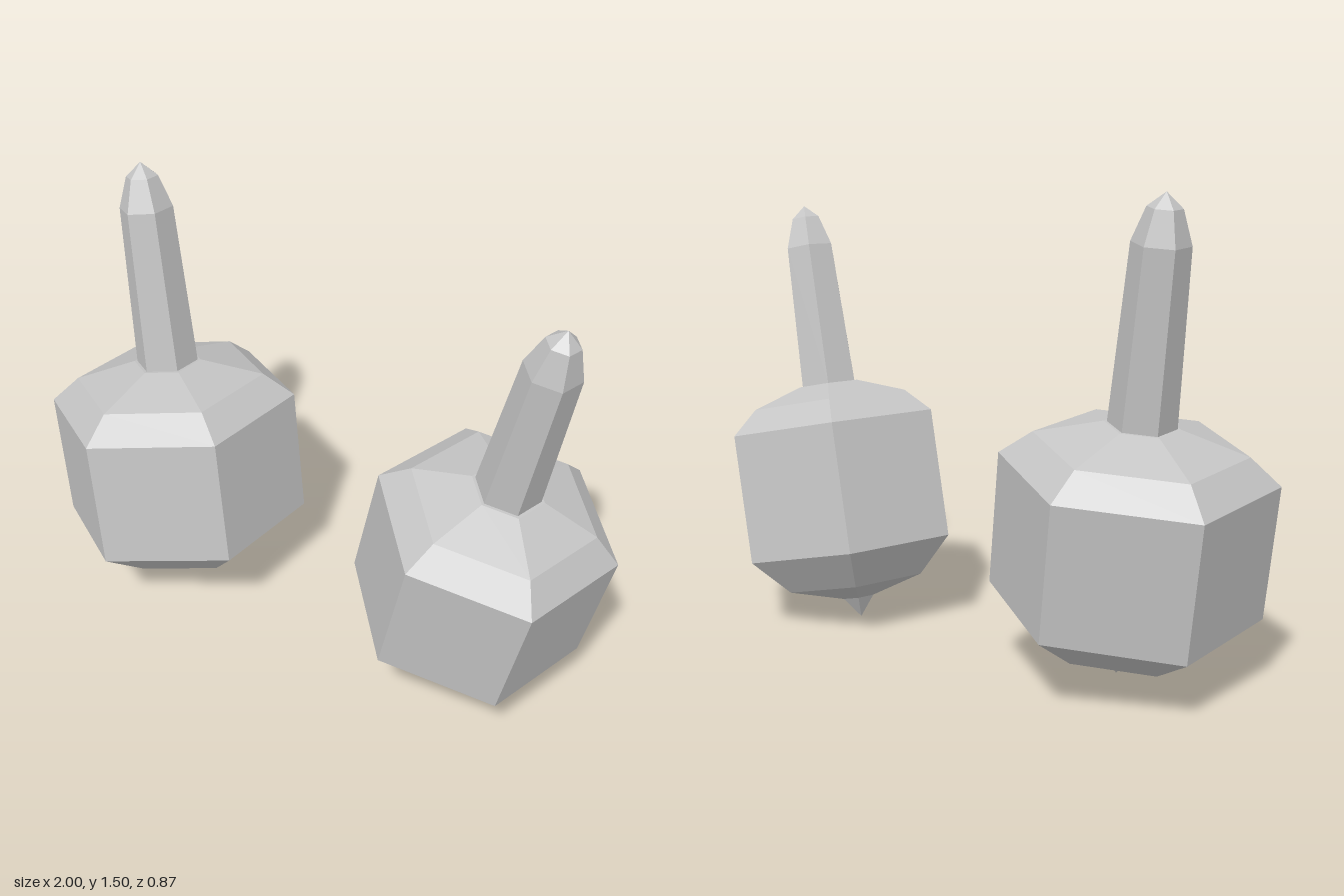
import * as THREE from 'three';

const grey = new THREE.MeshStandardMaterial({ color: 0xc4c4c4, flatShading: true });
grey.name = 'grey';

// Six-sided solid turned from a [radius, height] profile
function hexTurned(name, profile) {
  const points = profile.map(([r, y]) => new THREE.Vector2(r, y));
  const geometry = new THREE.LatheGeometry(points, 6).toNonIndexed();
  geometry.computeVertexNormals();
  const mesh = new THREE.Mesh(geometry, grey);
  mesh.name = name;
  return mesh;
}

// A spinning top leaning from its tip to the end of its stem;
// corner is the direction of one edge of the hexagonal body
function spinningTop(name, { tip, end, corner, radius, stemRadius }) {
  const foot = new THREE.Vector3(...tip);
  const axis = new THREE.Vector3(...end).sub(foot);
  const length = axis.length();
  axis.normalize();

  const top = new THREE.Group();
  top.name = name;
  top.add(
    hexTurned('body', [
      [0, 0],
      [0.06, 0.072],
      [0.26, 0.132],
      [radius, 0.256],
      [radius, 0.69],
      [radius * 0.765, 0.77],
      [0.115, 0.83],
      [0, 0.83],
    ]),
    hexTurned('stem', [
      [stemRadius, 0.82],
      [stemRadius * 0.84, length - 0.148],
      [stemRadius * 0.5, length - 0.045],
      [0, length],
    ]),
  );

  // Lean and turn: y runs along the axis, z through the chosen corner
  const z = new THREE.Vector3(...corner);
  z.addScaledVector(axis, -z.dot(axis)).normalize();
  const x = new THREE.Vector3().crossVectors(axis, z);
  top.quaternion.setFromRotationMatrix(new THREE.Matrix4().makeBasis(x, axis, z));
  top.position.copy(foot);
  return top;
}

export function createModel() {
  const model = new THREE.Group();
  model.name = 'spinningTops';
  model.add(
    spinningTop('largeTop', {
      tip: [-0.53, 0, 0.035],
      end: [-0.72, 1.505, -0.09],
      corner: [-0.384, -0.032, 0.164],
      radius: 0.424,
      stemRadius: 0.105,
    }),
    spinningTop('smallTop', {
      tip: [0.47, 0, 0.005],
      end: [0.795, 1.425, 0.125],
      corner: [0.377, -0.083, -0.066],
      radius: 0.388,
      stemRadius: 0.105,
    }),
  );
  return model;
}
